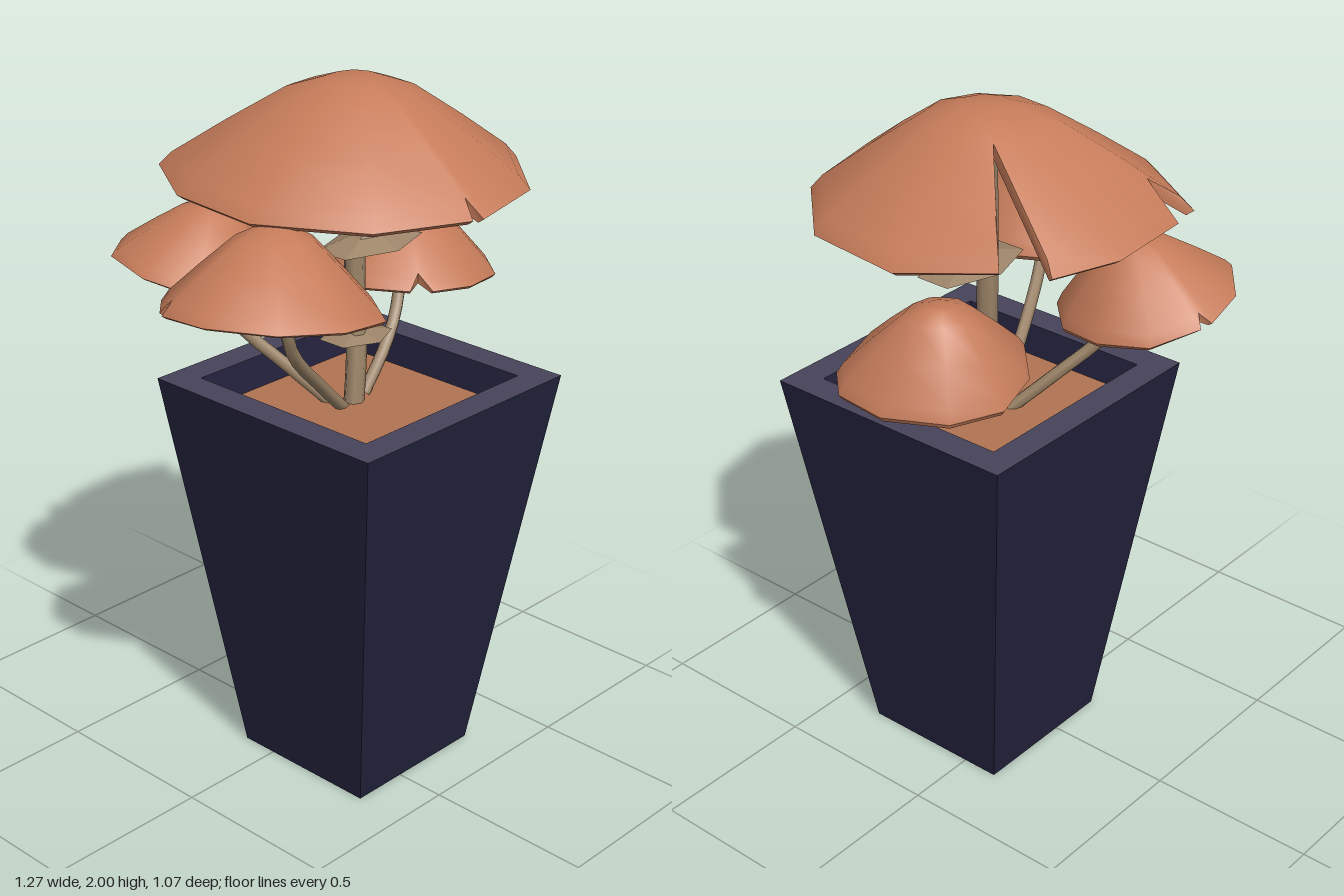
import * as THREE from 'three';
import { toCreasedNormals } from 'three/addons/utils/BufferGeometryUtils.js';

const mat = (name, color, side = THREE.FrontSide) => {
  const m = new THREE.MeshStandardMaterial({ color, side });
  m.name = name;
  return m;
};

// Height of a cap (0 rim, 1 apex) against the distance from its middle.
const OUTER = [[0, 1], [0.15, 0.985], [0.35, 0.86], [0.65, 0.5], [0.93, 0.14], [1, 0]];
const INNER = [[0.96, -0.05], [0.62, 0.4], [0.3, 0.74], [0, 0.88]];

function heightAt(profile, f) {
  const p = [...profile].sort((a, b) => a[0] - b[0]);
  for (let i = 1; i < p.length; i++) {
    if (f <= p[i][0]) return THREE.MathUtils.mapLinear(f, p[i - 1][0], p[i][0], p[i - 1][1], p[i][1]);
  }
  return p[p.length - 1][1];
}

// Cap shell. Outline points are [x, z, cut, lift]; cut < 1 tears a notch into the rim.
function capGeometry({ apex, outline, rim }) {
  const rings = [...OUTER.map((p) => [p[0], OUTER]), ...INNER.map((p) => [p[0], INNER])];
  const n = outline.length, pos = [], index = [];
  for (const [f, profile] of rings) {
    for (const [x, z, cut = 1, lift = 0] of outline) {
      const g = Math.min(f, cut);
      const base = rim(x, z) + lift;
      pos.push(
        THREE.MathUtils.lerp(apex[0], x, g),
        THREE.MathUtils.lerp(base, apex[1], heightAt(profile, g)),
        THREE.MathUtils.lerp(apex[2], z, g));
    }
  }
  for (let r = 0; r < rings.length - 1; r++) {
    for (let i = 0; i < n; i++) {
      const j = (i + 1) % n, a = r * n + i, b = r * n + j, c = a + n, d = b + n;
      if (r > 0) index.push(a, d, b);
      if (r < rings.length - 2) index.push(a, c, d);
      else index.push(a, c, b);
    }
  }
  const geo = new THREE.BufferGeometry();
  geo.setAttribute('position', new THREE.Float32BufferAttribute(pos, 3));
  geo.setIndex(index);
  return toCreasedNormals(geo, 0.7);
}

// Square frustum wall between two heights, open at both ends.
function squareWall(topHalf, bottomHalf, top, bottom) {
  const g = new THREE.CylinderGeometry(topHalf * Math.SQRT2, bottomHalf * Math.SQRT2, top - bottom, 4, 1, true);
  g.rotateY(Math.PI / 4).translate(0, (top + bottom) / 2, 0);
  return toCreasedNormals(g, 0.3);
}

function squareShape(h) {
  return new THREE.Shape([[-h, -h], [h, -h], [h, h], [-h, h]].map((p) => new THREE.Vector2(...p)));
}

export function createModel() {
  const model = new THREE.Group();
  const potMat = mat('dark navy', 0x23223d, THREE.DoubleSide);
  const rimMat = mat('slate rim', 0x47435a);
  const soilMat = mat('clay soil', 0xb07452);
  const capMat = mat('terracotta cap', 0xc67c5a, THREE.DoubleSide);
  const stemMat = mat('tan stem', 0x9c8468, THREE.DoubleSide);
  const add = (name, geo, material, parent = model) => {
    const mesh = new THREE.Mesh(geo, material);
    mesh.name = name;
    parent.add(mesh);
    return mesh;
  };

  // Tapered planter
  const pot = new THREE.Group();
  pot.name = 'planter';
  pot.position.set(0.06, 0, 0.12);
  model.add(pot);
  add('planterWall', squareWall(0.395, 0.23, 1.17, 0), potMat, pot);
  add('planterInside', squareWall(0.31, 0.295, 1.17, 1.07), potMat, pot);
  add('planterBase', new THREE.ShapeGeometry(squareShape(0.23)).rotateX(Math.PI / 2), potMat, pot);
  const rimShape = squareShape(0.395);
  rimShape.holes.push(squareShape(0.31));
  add('planterRim', new THREE.ShapeGeometry(rimShape).rotateX(-Math.PI / 2).translate(0, 1.17, 0), rimMat, pot);
  add('soil', new THREE.ShapeGeometry(squareShape(0.3)).rotateX(-Math.PI / 2).translate(0, 1.08, 0), soilMat, pot);

  // Caps, outlines running front, +x, back, -x
  const caps = {
    mainCap: {
      apex: [0.11, 2.0, 0.05], rim: () => 1.725,
      outline: [[0.07, 0.535], [0.34, 0.47], [0.55, 0.25], [0.585, -0.05], [0.465, -0.295, 1, 0.03],
        [0.45, -0.31, 0.36, 0.03], [0.36, -0.375], [0.17, -0.44], [-0.1, -0.42], [-0.17, -0.41, 0.78],
        [-0.19, -0.405], [-0.34, -0.17], [-0.37, 0.13], [-0.21, 0.41], [0.04, 0.525], [0.05, 0.53, 0.9]],
    },
    rightCap: {
      apex: [-0.31, 1.72, 0.17], rim: (x, z) => 1.505 - 0.15 * (x + 0.37) + 0.08 * (z - 0.2),
      outline: [[-0.38, 0.48], [-0.2, 0.45], [-0.1, 0.33], [-0.09, 0.17], [-0.18, 0], [-0.34, -0.065],
        [-0.5, -0.065], [-0.61, 0.05], [-0.62, 0.065, 0.9], [-0.63, 0.08], [-0.64, 0.24], [-0.55, 0.41]],
    },
    backCap: {
      apex: [-0.12, 1.64, -0.25], rim: (x, z) => 1.45 - 0.18 * (x + 0.17) - 0.13 * (z + 0.28),
      outline: [[-0.2, -0.04], [-0.05, -0.06], [0.05, -0.16], [0.08, -0.3], [0.05, -0.45], [-0.07, -0.525],
        [-0.085, -0.53, 0.9], [-0.105, -0.535], [-0.24, -0.515], [-0.37, -0.41], [-0.4, -0.25], [-0.34, -0.1]],
    },
    leftCap: {
      apex: [0.44, 1.585, -0.08], rim: (x, z) => 1.36 - 0.1 * (x - 0.39) + 0.06 * (z + 0.02),
      outline: [[0.4, 0.23], [0.56, 0.185], [0.63, 0.11], [0.635, -0.04], [0.55, -0.2], [0.42, -0.27],
        [0.27, -0.23], [0.16, -0.12], [0.14, 0.03], [0.22, 0.16], [0.24, 0.18, 0.88], [0.27, 0.2]],
    },
  };
  for (const [name, spec] of Object.entries(caps)) add(name, capGeometry(spec), capMat);

  // Bent stems
  const stems = {
    mainStem: [0.03, [[0.08, 1.07, 0.08], [0.1, 1.2, 0.07], [0.115, 1.35, 0.05], [0.12, 1.6, 0.04], [0.12, 1.94, 0.04]]],
    rightStem: [0.018, [[0.04, 1.07, 0.08], [-0.08, 1.18, 0.11], [-0.27, 1.36, 0.18], [-0.31, 1.46, 0.2], [-0.31, 1.67, 0.18]]],
    backStem: [0.018, [[0.04, 1.07, 0.04], [-0.04, 1.18, -0.06], [-0.13, 1.31, -0.17], [-0.145, 1.42, -0.22], [-0.13, 1.59, -0.24]]],
    leftStem: [0.018, [[0.13, 1.08, 0.07], [0.26, 1.17, 0.03], [0.34, 1.25, 0], [0.41, 1.4, -0.04], [0.43, 1.54, -0.07]]],
  };
  for (const [name, [radius, points]] of Object.entries(stems)) {
    const curve = new THREE.CatmullRomCurve3(points.map((p) => new THREE.Vector3(...p)), false, 'centripetal');
    add(name, new THREE.TubeGeometry(curve, 12, radius, 7), stemMat);
  }

  // Pointed skirts round the main stem
  const skirt = (name, x, y, z, rx, rz, h) => {
    const profile = [[0.22, 1], [0.4, 0.45], [1, 0], [0.25, -0.15]].map(([r, t]) => new THREE.Vector2(r, t));
    const mesh = add(name, toCreasedNormals(new THREE.LatheGeometry(profile.reverse(), 6), 0.5), stemMat);
    mesh.rotation.y = 0;
    mesh.scale.set(rx, h, rz);
    mesh.position.set(x, y, z);
  };
  skirt('upperSkirt', 0.13, 1.54, 0.09, 0.18, 0.105, 0.06);
  skirt('lowerSkirt', 0.12, 1.26, 0.05, 0.115, 0.09, 0.035);

  return model;
}
